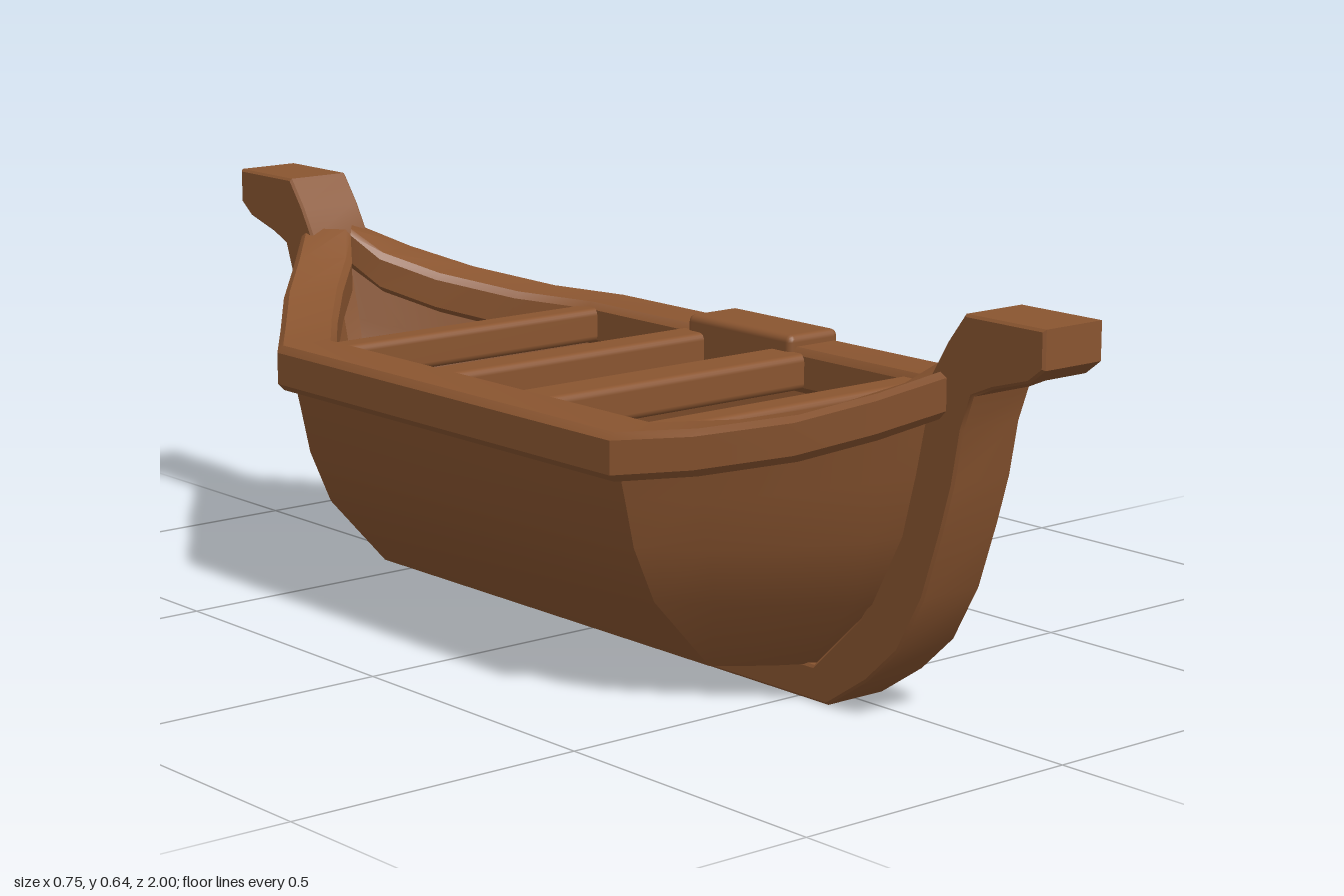
import * as THREE from 'three';
import { toCreasedNormals } from 'three/addons/utils/BufferGeometryUtils.js';
import { RoundedBoxGeometry } from 'three/addons/geometries/RoundedBoxGeometry.js';

const wood = new THREE.MeshStandardMaterial({ color: 0x8a5530, side: THREE.DoubleSide });
wood.name = 'brown wood';

// Skin a list of equal-length rings of [x, y, z] points
function loft(rings, closed, crease) {
  const n = rings[0].length, index = [];
  for (let i = 0; i < rings.length - 1; i++) {
    for (let j = 0; j < (closed ? n : n - 1); j++) {
      const a = i * n + j, b = i * n + (j + 1) % n;
      index.push(a, b, a + n, b, b + n, a + n);
    }
  }
  const geo = new THREE.BufferGeometry();
  geo.setAttribute('position', new THREE.Float32BufferAttribute(rings.flat(2), 3));
  geo.setIndex(index);
  return toCreasedNormals(geo, crease);
}

// Stations listed from amidships to the bow, mirrored to run bow to stern
const bothEnds = (half, flip) => [...half.slice().reverse(), ...half.map(flip)];
const flipZ = ring => ring.map(([x, y, z]) => [x, y, -z]);

// Hull skin; inset pulls it inwards for the inner face
function hullGeometry(inset) {
  // half width, height amidships, z of the end, height at the end
  const levels = [
    [0.355, 0.41, 0.80, 0.52], [0.338, 0.34, 0.775, 0.40], [0.32, 0.26, 0.75, 0.30],
    [0.28, 0.17, 0.69, 0.18], [0.17, 0.05, 0.54, 0.055],
  ];
  // position along the tapered end, remaining width
  const taper = [[0, 1], [0.27, 0.79], [0.58, 0.53], [0.82, 0.3], [1, 0.1]];
  const half = taper.map(([t, k]) => {
    const side = levels.map(([w, y, zEnd, yEnd], i) => [
      Math.max(w * k - inset, 0.01),
      y + (yEnd - y) * t * t + (i === 4 ? inset : 0),
      0.42 + (zEnd - 0.42) * t - inset * t,
    ]);
    return [...side, ...side.slice().reverse().map(([x, y, z]) => [-x, y, z])];
  });
  return loft(bothEnds(half, flipZ), false, 0.5);
}

// Chamfered gunwale running along one side
function railGeometry(side) {
  // outer x, z, inner x, z, bottom, top
  const stations = [
    [0.375, 0.43, 0.27, 0.41, 0.37, 0.445],
    [0.30, 0.53, 0.19, 0.52, 0.385, 0.457],
    [0.21, 0.65, 0.10, 0.63, 0.415, 0.485],
    [0.13, 0.735, 0.03, 0.70, 0.45, 0.52],
    [0.055, 0.815, 0, 0.745, 0.49, 0.56],
  ];
  const section = [
    [0, 0.15], [0.1, 0], [0.9, 0], [1, 0.15], [1, 0.85], [0.9, 1], [0.1, 1], [0, 0.85],
  ];
  const half = stations.map(([ox, oz, ix, iz, lo, hi]) => section.map(([u, v]) => [
    side * (ox + (ix - ox) * u), lo + (hi - lo) * v, oz + (iz - oz) * u,
  ]));
  return loft(bothEnds(half, flipZ), true, 0.6);
}

// Keel sweeping up into a stem and flared head at both ends
function keelGeometry() {
  const outer = [
    [0.565, 0.004], [0.65, 0.06], [0.715, 0.12], [0.765, 0.21], [0.80, 0.315], [0.822, 0.39],
    [0.838, 0.475], [0.858, 0.53], [0.90, 0.548], [0.97, 0.568], [0.996, 0.588],
    [0.996, 0.641], [0.845, 0.641], [0.81, 0.595], [0.78, 0.545],
  ];
  const inner = [[0.765, 0.47], [0.74, 0.36], [0.70, 0.25], [0.64, 0.15], [0.535, 0.052]];
  const half = [...outer, ...inner];
  const mirrored = half.slice().reverse().map(([z, y]) => [-z, y]);
  const shape = new THREE.Shape([...half, ...mirrored].map(([z, y]) => new THREE.Vector2(z, y)));
  const geo = new THREE.ExtrudeGeometry(shape, {
    depth: 0.112, bevelThickness: 0.004, bevelSize: 0.004, bevelSegments: 1,
  });
  geo.translate(0, 0, -0.056).rotateY(-Math.PI / 2);
  return toCreasedNormals(geo, 0.6);
}

export function createModel() {
  const boat = new THREE.Group();
  boat.name = 'rowingBoat';
  const add = (name, geo, x = 0, y = 0, z = 0) => {
    const mesh = new THREE.Mesh(geo, wood);
    mesh.name = name;
    mesh.position.set(x, y, z);
    boat.add(mesh);
  };

  add('hullOuter', hullGeometry(0));
  add('hullInner', hullGeometry(0.025));
  add('keelAndStems', keelGeometry());
  add('leftRail', railGeometry(1));
  add('rightRail', railGeometry(-1));

  // Raised pad on the left rail
  add('railPad', new RoundedBoxGeometry(0.11, 0.09, 0.26, 2, 0.012), 0.32, 0.419, -0.01);

  // Thwarts across the boat: z, width
  [[-0.413, 0.055], [-0.13, 0.07], [0.107, 0.085], [0.398, 0.06]].forEach(([z, width], i) => {
    add('thwart' + (i + 1), new RoundedBoxGeometry(0.6, 0.06, width, 2, 0.012), 0, 0.407, z);
  });
  return boat;
}
